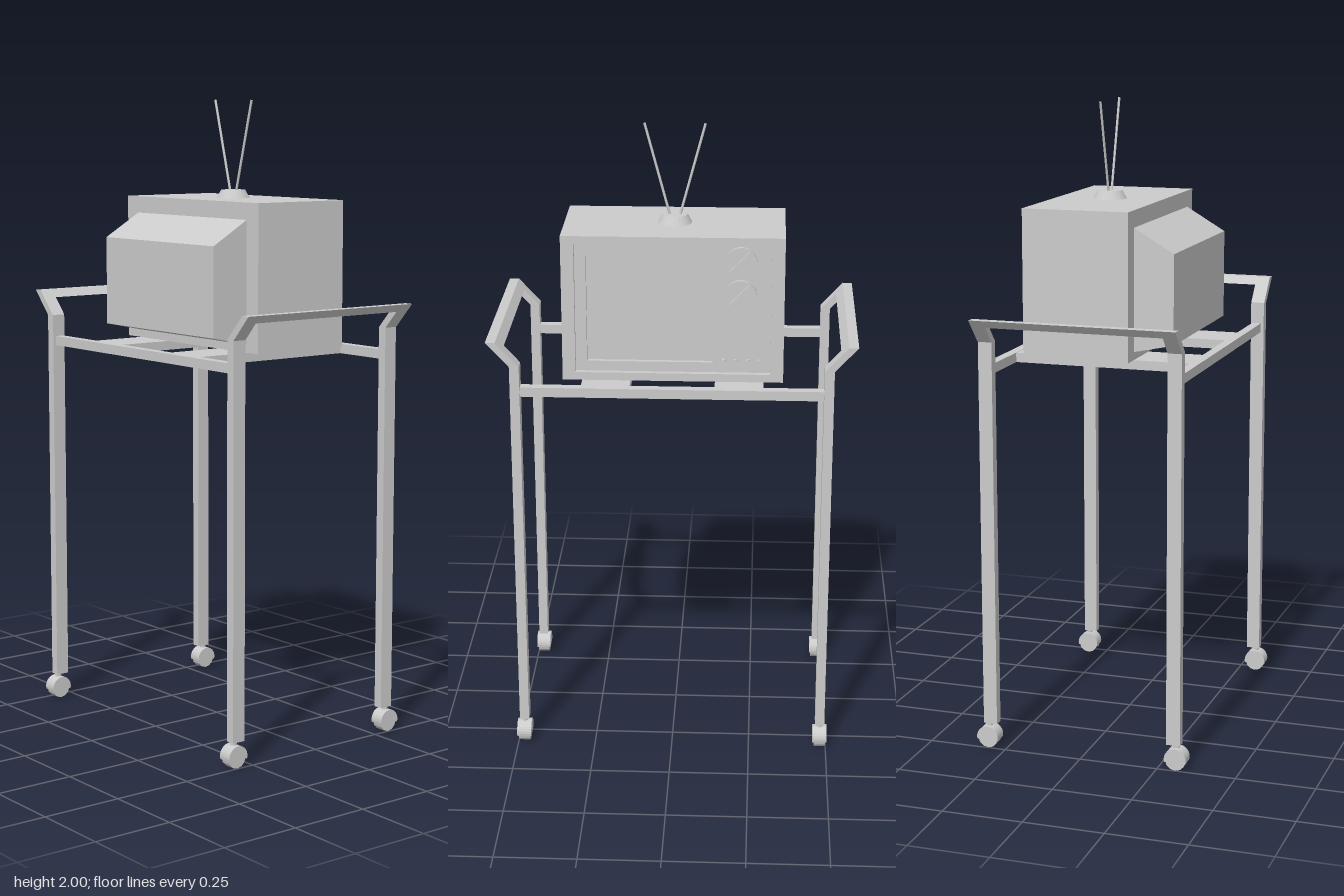
import * as THREE from 'three';

const mat = new THREE.MeshStandardMaterial({ color: 0xcccccc, flatShading: true });

function add(parent, name, geo) {
  const m = new THREE.Mesh(geo, mat);
  m.name = name;
  parent.add(m);
  return m;
}

// Box given by its limits on each axis
function box(parent, name, x0, x1, y0, y1, z0, z1) {
  const m = add(parent, name, new THREE.BoxGeometry(x1 - x0, y1 - y0, z1 - z0));
  m.position.set((x0 + x1) / 2, (y0 + y1) / 2, (z0 + z1) / 2);
  return m;
}

const polygon = pts => pts.map(p => new THREE.Vector2(p[0], p[1]));
const rect = (a0, a1, b0, b1) => polygon([[a0, b0], [a1, b0], [a1, b1], [a0, b1]]);

// Rectangular frame facing +x, limits are [z0, z1, y0, y1]
function frameX(parent, name, x0, x1, outer, hole) {
  const flip = r => rect(-r[1], -r[0], r[2], r[3]);
  const s = new THREE.Shape(flip(outer));
  s.holes.push(new THREE.Path(flip(hole)));
  const g = new THREE.ExtrudeGeometry(s, { depth: x1 - x0, bevelEnabled: false });
  g.rotateY(Math.PI / 2).translate(x0, 0, 0);
  return add(parent, name, g);
}

function createCaster() {
  const c = new THREE.Group();
  c.name = 'caster';
  const wheel = add(c, 'wheel', new THREE.CylinderGeometry(0.032, 0.032, 0.036, 12).rotateX(Math.PI / 2));
  wheel.position.y = 0.032;
  // Half-round hood over the wheel
  const hood = new THREE.Shape();
  hood.absarc(0, 0, 0.035, -0.25, Math.PI + 0.25, false);
  const g = new THREE.ExtrudeGeometry(hood, { depth: 0.046, bevelEnabled: false, curveSegments: 8 });
  add(c, 'hood', g.translate(0, 0.036, -0.023));
  const stem = add(c, 'stem', new THREE.CylinderGeometry(0.01, 0.01, 0.03, 8));
  stem.position.y = 0.073;
  return c;
}

// One end of the cart: two legs, casters and the outward-leaning handle
function createCartEnd() {
  const end = new THREE.Group();
  end.name = 'cartEnd';
  for (const s of [-1, 1]) {
    const leg = box(end, 'leg', -0.022, 0.022, 0.08, 1.3, 0.465, 0.495);
    leg.position.x = s * 0.3;
    const caster = createCaster();
    caster.position.set(s * 0.308, 0, 0.48);
    end.add(caster);
  }
  const u = new THREE.Shape(polygon([
    [-0.323, 1.3], [-0.278, 1.3], [-0.278, 1.353], [0.278, 1.353],
    [0.278, 1.3], [0.323, 1.3], [0.323, 1.377], [-0.323, 1.377],
  ]));
  const g = new THREE.ExtrudeGeometry(u, { depth: 0.03, bevelEnabled: false });
  const p = g.attributes.position;
  for (let i = 0; i < p.count; i++) {
    p.setZ(i, p.getZ(i) + 0.465 + (p.getY(i) - 1.3) * 0.92);
  }
  g.computeVertexNormals();
  add(end, 'handle', g);
  return end;
}

function createCart() {
  const cart = new THREE.Group();
  cart.name = 'cart';
  const front = createCartEnd();
  const back = createCartEnd();
  back.rotation.y = Math.PI;
  cart.add(front, back);
  for (const s of [-1, 1]) {
    const rail = box(cart, 'sideRail', -0.015, 0.015, 1.2, 1.23, -0.467, 0.467);
    rail.position.x = s * 0.297;
    const slat = box(cart, 'crossSlat', -0.285, 0.285, 1.2, 1.229, -0.075, 0.075);
    slat.position.z = s * 0.205;
  }
  return cart;
}

function createTelevision() {
  const tv = new THREE.Group();
  tv.name = 'television';
  // Cabinet body with a rim, a control panel and a sunken screen
  box(tv, 'cabinet', -0.105, 0.2, 1.23, 1.69, -0.34, 0.34);
  frameX(tv, 'cabinetRim', 0.2, 0.235, [-0.34, 0.34, 1.23, 1.69], [-0.3, 0.3, 1.255, 1.665]);
  frameX(tv, 'facePanel', 0.2, 0.218, [-0.3, 0.3, 1.255, 1.665], [-0.122, 0.265, 1.287, 1.632]);
  box(tv, 'screen', 0.2, 0.204, 1.287, 1.632, -0.122, 0.265);

  // Tapered tube housing at the back
  const housing = new THREE.Shape(polygon([[-0.105, 1.255], [-0.105, 1.637], [-0.232, 1.562], [-0.232, 1.282]]));
  add(tv, 'tubeHousing', new THREE.ExtrudeGeometry(housing, { depth: 0.566, bevelEnabled: false }).translate(0, 0, -0.283));

  // Channel knobs with diagonal grips
  for (const y of [1.609, 1.505]) {
    const knob = new THREE.Group();
    knob.name = 'knob';
    knob.position.set(0.218, y, -0.207);
    add(knob, 'dial', new THREE.CylinderGeometry(0.049, 0.049, 0.012, 24).rotateZ(Math.PI / 2)).position.x = 0.006;
    const grip = add(knob, 'grip', new THREE.BoxGeometry(0.02, 0.018, 0.094));
    grip.position.x = 0.014;
    grip.rotation.x = Math.PI / 4;
    tv.add(knob);
  }
  // Row of small buttons
  for (let i = 0; i < 4; i++) {
    const b = add(tv, 'button', new THREE.CylinderGeometry(0.008, 0.008, 0.014, 10).rotateZ(Math.PI / 2));
    b.position.set(0.223, 1.292, -0.156 - i * 0.037);
  }
  return tv;
}

function createAntenna() {
  const a = new THREE.Group();
  a.name = 'antenna';
  a.position.set(0.066, 1.69, 0);
  add(a, 'antennaBase', new THREE.CylinderGeometry(0.039, 0.053, 0.026, 24)).position.y = 0.013;
  for (const s of [-1, 1]) {
    const path = new THREE.LineCurve3(new THREE.Vector3(0, 0.02, s * 0.015), new THREE.Vector3(0, 0.31, s * 0.093));
    add(a, 'antennaRod', new THREE.TubeGeometry(path, 1, 0.004, 8));
  }
  return a;
}

export function createModel() {
  const model = new THREE.Group();
  model.name = 'televisionOnCart';
  model.add(createCart(), createTelevision(), createAntenna());
  return model;
}
